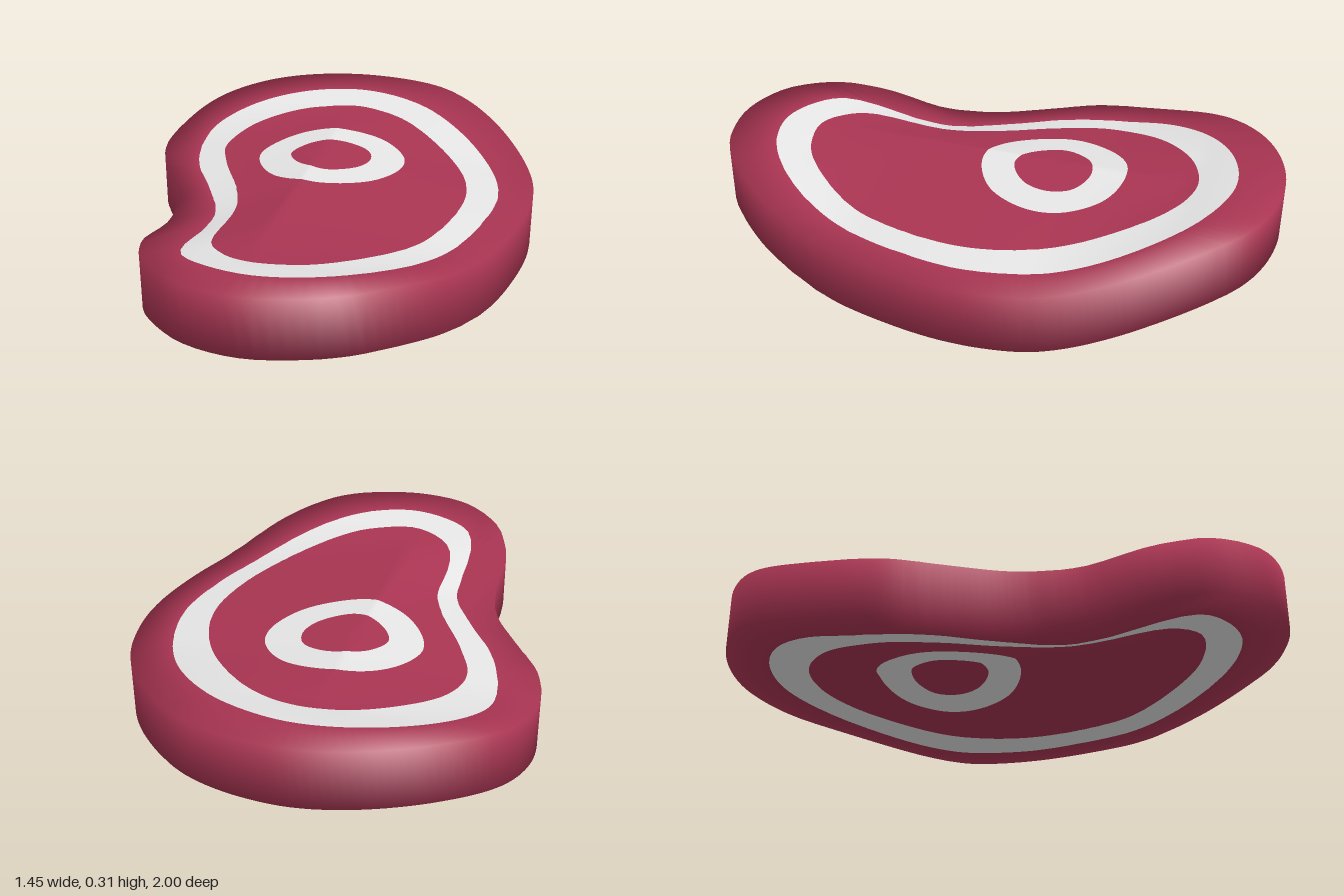
import * as THREE from 'three';

const N = 160;                 // samples around each loop
const CX = -0.03, CZ = -0.2;   // centre of the bone, all loops are star-shaped around it
const RIDGE_X = -0.08;

// Loops seen from above, as [x, z]
const OUTLINE = [[-0.04, -1], [0.25, -0.93], [0.5, -0.7], [0.67, -0.4], [0.72, -0.13], [0.69, 0.15], [0.6, 0.45],
  [0.48, 0.7], [0.3, 0.9], [0.12, 0.98], [-0.04, 1], [-0.22, 0.95], [-0.38, 0.8], [-0.455, 0.6], [-0.455, 0.4],
  [-0.5, 0.17], [-0.6, -0.02], [-0.7, -0.2], [-0.73, -0.4], [-0.66, -0.66], [-0.5, -0.84], [-0.28, -0.96]];
const FAT_OUT = [[-0.04, -0.84], [0.2, -0.76], [0.4, -0.58], [0.54, -0.35], [0.6, -0.1], [0.57, 0.15], [0.49, 0.4],
  [0.36, 0.62], [0.2, 0.77], [0.06, 0.83], [-0.04, 0.84], [-0.16, 0.81], [-0.27, 0.74], [-0.31, 0.62], [-0.315, 0.42],
  [-0.33, 0.27], [-0.42, 0.08], [-0.53, -0.12], [-0.59, -0.35], [-0.58, -0.5], [-0.47, -0.67], [-0.27, -0.8]];
const FAT_IN = [[-0.04, -0.71], [0.13, -0.65], [0.3, -0.49], [0.43, -0.29], [0.49, -0.08], [0.47, 0.15], [0.39, 0.38],
  [0.26, 0.56], [0.13, 0.67], [-0.04, 0.72], [-0.14, 0.69], [-0.22, 0.61], [-0.25, 0.5], [-0.26, 0.25], [-0.31, 0.1],
  [-0.42, -0.12], [-0.48, -0.3], [-0.44, -0.47], [-0.33, -0.6], [-0.2, -0.68]];
const BONE_OUT = [[-0.02, -0.46], [0.12, -0.42], [0.22, -0.3], [0.23, -0.18], [0.15, -0.03], [-0.03, 0.06],
  [-0.18, 0.02], [-0.28, -0.1], [-0.31, -0.22], [-0.25, -0.36], [-0.15, -0.44]];
const BONE_IN = [[-0.01, -0.34], [0.08, -0.3], [0.11, -0.22], [0.08, -0.13], [-0.03, -0.06], [-0.13, -0.1],
  [-0.19, -0.2], [-0.15, -0.29], [-0.09, -0.33]];

// Resample a smooth closed curve at even angles around the bone centre
function loop(points) {
  const curve = new THREE.CatmullRomCurve3(points.map(([x, z]) => new THREE.Vector3(x, 0, z)), true);
  const dense = curve.getPoints(800).map(p => ({
    a: Math.atan2(p.z - CZ, p.x - CX), r: Math.hypot(p.x - CX, p.z - CZ) }));
  dense.sort((p, q) => p.a - q.a);
  const out = [];
  for (let i = 0, k = 0; i < N; i++) {
    const a = -Math.PI + (i + 0.5) / N * Math.PI * 2;
    while (k < dense.length - 1 && dense[k].a < a) k++;
    out.push([CX + Math.cos(a) * dense[k].r, CZ + Math.sin(a) * dense[k].r]);
  }
  return out;
}

// Both ends of the slab curl upwards
const curl = z => 0.105 * THREE.MathUtils.smoothstep(Math.abs(z), 0.3, 1);

// Left and right limits of a loop at a given z
function limits(pts, z) {
  let lo = Infinity, hi = -Infinity;
  pts.forEach((p, i) => {
    const q = pts[(i + 1) % N];
    if ((p[1] - z) * (q[1] - z) > 0 || p[1] === q[1]) return;
    const x = p[0] + (q[0] - p[0]) * (z - p[1]) / (q[1] - p[1]);
    lo = Math.min(lo, x);
    hi = Math.max(hi, x);
  });
  return [lo, hi];
}

// Skin consecutive rows of N points; rows run from the centre outwards on top
function skin(rows) {
  const pos = [], idx = [];
  rows.forEach(row => row.forEach(p => pos.push(...p)));
  for (let r = 0; r < rows.length - 1; r++) {
    for (let i = 0; i < N; i++) {
      const a = r * N + i, b = r * N + (i + 1) % N;
      idx.push(a, b, a + N, b, b + N, a + N);
    }
  }
  const g = new THREE.BufferGeometry();
  g.setAttribute('position', new THREE.Float32BufferAttribute(pos, 3));
  g.setIndex(idx);
  g.computeVertexNormals();
  return g;
}

export function createModel() {
  const group = new THREE.Group();
  const meat = new THREE.MeshStandardMaterial({ color: 0xaa3553 });
  meat.name = 'red meat';
  const fat = new THREE.MeshStandardMaterial({ color: 0xf0f0f0 });
  fat.name = 'white fat';

  const outline = loop(OUTLINE), fatOut = loop(FAT_OUT), fatIn = loop(FAT_IN);
  const boneOut = loop(BONE_OUT), boneIn = loop(BONE_IN);
  const centre = outline.map(() => [CX, CZ]);

  // A shallow lengthwise ridge bridges the curled ends
  const height = (x, z, base, chord) => {
    const [lo, hi] = limits(fatOut, z);
    const side = x < RIDGE_X ? (RIDGE_X - x) / (RIDGE_X - lo) : (x - RIDGE_X) / (hi - RIDGE_X);
    const w = Number.isFinite(side) ? THREE.MathUtils.clamp(side, 0, 1) : 1;
    return base + curl(z) + Math.max(0, chord - curl(z)) * (1 - w);
  };
  const add = (name, geometry, material) => {
    const mesh = new THREE.Mesh(geometry, material);
    mesh.name = name;
    group.add(mesh);
  };

  // Rounded-looking rim: top border, side wall and bottom border in one smooth skin
  const lift = (pts, base) => pts.map(([x, z]) => [x, base + curl(z), z]);
  add('rim', skin([lift(fatOut, 0.2), lift(outline, 0.2), lift(outline, 0), lift(fatOut, 0)]), meat);

  // Fat band, meat, bone ring and marrow on both faces
  const bands = [
    ['FatBand', fatIn, fatOut, fat, 4], ['Meat', boneOut, fatIn, meat, 8],
    ['BoneRing', boneIn, boneOut, fat, 4], ['Marrow', centre, boneIn, meat, 4],
  ];
  for (const [face, base, chord] of [['top', 0.2, 0.061], ['bottom', 0, 0.09]]) {
    for (const [name, inner, outer, material, steps] of bands) {
      const rows = [];
      for (let s = 0; s <= steps; s++) {
        rows.push(inner.map(([x0, z0], i) => {
          const x = THREE.MathUtils.lerp(x0, outer[i][0], s / steps);
          const z = THREE.MathUtils.lerp(z0, outer[i][1], s / steps);
          return [x, height(x, z, base, chord), z];
        }));
      }
      if (face === 'bottom') rows.reverse();
      add(face + name, skin(rows), material);
    }
  }
  return group;
}
